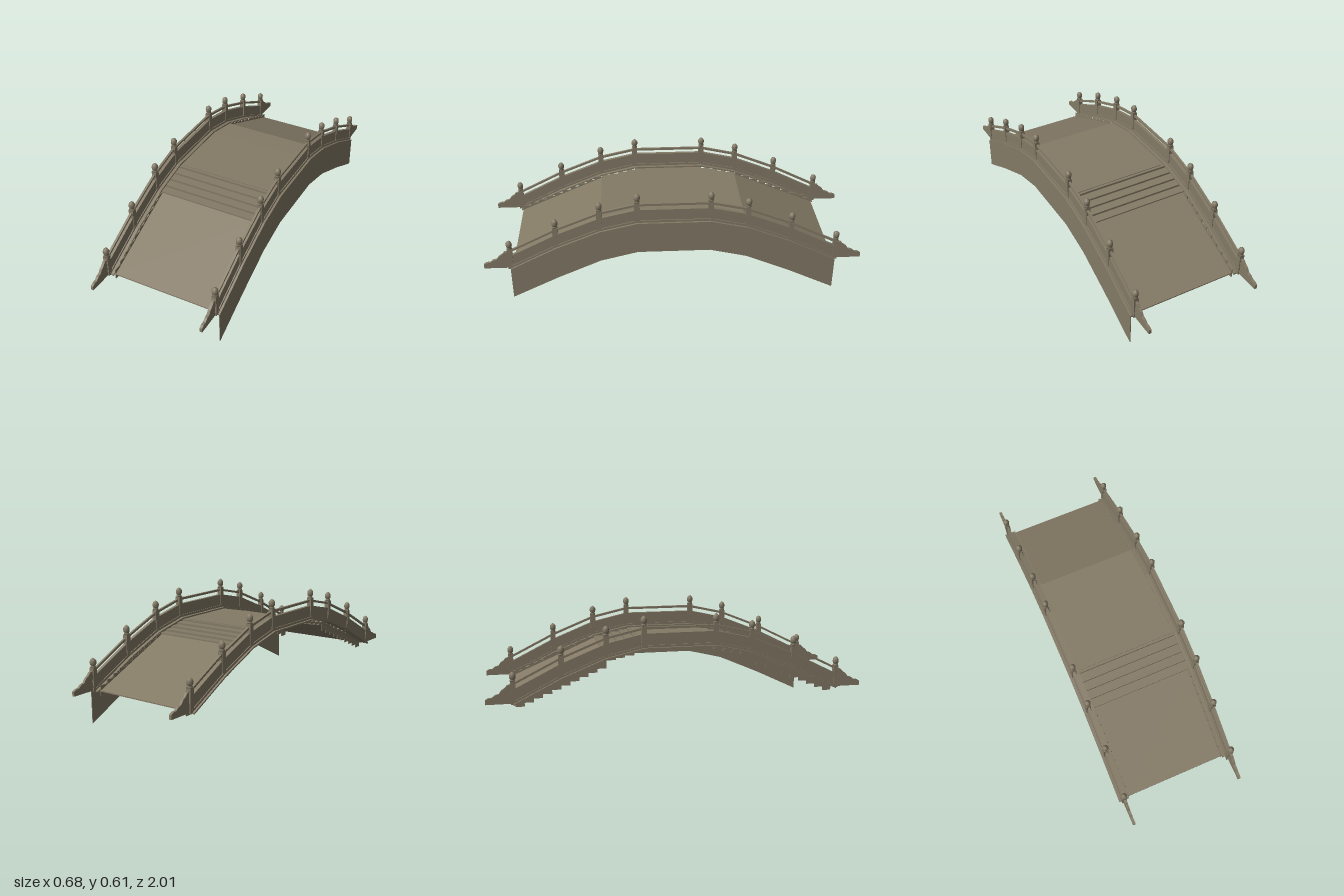
import * as THREE from 'three';

export function createModel() {
  const stone = new THREE.MeshStandardMaterial({ color: 0x847a66, side: THREE.DoubleSide });
  stone.name = 'weathered stone';
  const model = new THREE.Group();
  model.name = 'archBridge';

  // Arch line that carries the parapets, as [z, y]
  const half = [[0.86, 0.18], [0.615, 0.303], [0.385, 0.396], [0.19, 0.44]];
  const mirrored = pts => [...pts, ...pts.slice().reverse().map(([z, y]) => [-z, y])];
  const arch = mirrored(half);

  function add(name, geometry, parent = model) {
    const mesh = new THREE.Mesh(geometry, stone);
    mesh.name = name;
    parent.add(mesh);
    return mesh;
  }

  // Upright plate with a (z, y) outline, centred on x
  function plate(name, outline, x, width, parent = model) {
    const shape = new THREE.Shape(outline.map(([z, y]) => new THREE.Vector2(z, y)));
    const g = new THREE.ExtrudeGeometry(shape, { depth: width, bevelEnabled: false });
    g.translate(0, 0, -width / 2).rotateY(-Math.PI / 2).translate(x, 0, 0);
    return add(name, g, parent);
  }

  // Strip following the arch between two height offsets
  function band(name, low, high, x, width, parent = model) {
    const top = arch.map(([z, y]) => [z, y + high]);
    const bottom = arch.map(([z, y]) => [z, y + low]).reverse();
    return plate(name, [...top, ...bottom], x, width, parent);
  }

  function box(name, w, h, d, x, y, z, parent = model) {
    return add(name, new THREE.BoxGeometry(w, h, d).translate(x, y, z), parent);
  }

  // Deck: flat crown with a thin inset panel
  box('crownDeck', 0.57, 0.012, 0.38, 0, 0.425, 0);
  box('crownPanel', 0.53, 0.004, 0.35, 0, 0.432, 0);

  for (const end of [1, -1]) {
    // Shallow steps beside the crown
    for (let i = 0; i < 4; i++) {
      const z = 0.214 + i * 0.048;
      box('step', 0.57, 0.014, 0.05, 0, 0.413 - i * 0.0105, end * z);
    }
    // Smooth ramp down to the bank
    plate('ramp', [[0.38, 0.383], [0.85, 0.18], [0.85, 0.174], [0.38, 0.375]]
      .map(([z, y]) => [end * z, y]), 0, 0.565);

    // Sawtooth stringers under the ramp edges
    const outline = [];
    const teeth = 10, run = 0.47 / teeth, rise = 0.2 / teeth;
    for (let i = 0; i < teeth; i++) {
      const z = 0.38 + i * run, y = 0.386 - i * rise;
      outline.push([z, y], [z + run, y]);
    }
    for (let i = teeth; i > 0; i--) {
      const z = 0.38 + i * run, y = 0.35 - i * rise;
      outline.push([z, y], [z - run, y]);
    }
    for (const side of [1, -1])
      plate('stringer', outline.map(([z, y]) => [end * z, y]), side * 0.2725, 0.004);
  }

  // Post head: collar, neck and pointed bud
  const headProfile = [[0, 0], [0.014, 0], [0.014, 0.006], [0.01, 0.009], [0.0145, 0.014],
    [0.0165, 0.022], [0.0165, 0.033], [0.012, 0.042], [0, 0.051]]
    .map(([r, y]) => new THREE.Vector2(r, y));

  // Scrolled buttress closing each parapet end
  const scroll = [[0.86, 0.18], [1, 0.18], [1, 0.203], [0.985, 0.212], [0.965, 0.214],
    [0.95, 0.227], [0.93, 0.232], [0.918, 0.25], [0.9, 0.262], [0.888, 0.276], [0.86, 0.282]];

  for (const side of [1, -1]) {
    const parapet = new THREE.Group();
    parapet.name = side > 0 ? 'leftParapet' : 'rightParapet';
    model.add(parapet);
    const x = side * 0.307;
    band('ledge', -0.008, 0, side * 0.304, 0.056, parapet);
    band('parapetWall', 0, 0.073, x, 0.018, parapet);
    band('wallFoot', 0, 0.012, x, 0.028, parapet);
    band('handrail', 0.094, 0.106, x, 0.012, parapet);

    for (const [z, y] of arch) {
      const post = new THREE.Group();
      post.name = 'post';
      post.position.set(x, y, z);
      parapet.add(post);
      box('postShaft', 0.026, 0.119, 0.026, 0, 0.0555, 0, post);
      box('postPanel', 0.016, 0.09, 0.029, 0, 0.058, 0, post);
      const head = add('postHead', new THREE.LatheGeometry(headProfile, 8), post);
      head.position.y = 0.115;
    }
    for (const end of [1, -1])
      plate('scrollEnd', scroll.map(([z, y]) => [end * z, y]), x, 0.014, parapet);
  }

  // Side wall hanging below the arch on the left only
  const under = mirrored([[0.86, 0], [0.615, 0.118], [0.385, 0.218], [0.19, 0.265]]);
  plate('sideWall', [...arch, ...under.reverse()], 0.328, 0.004);

  // The whole bridge sits very slightly askew
  model.rotation.y = 0.009;
  return model;
}
